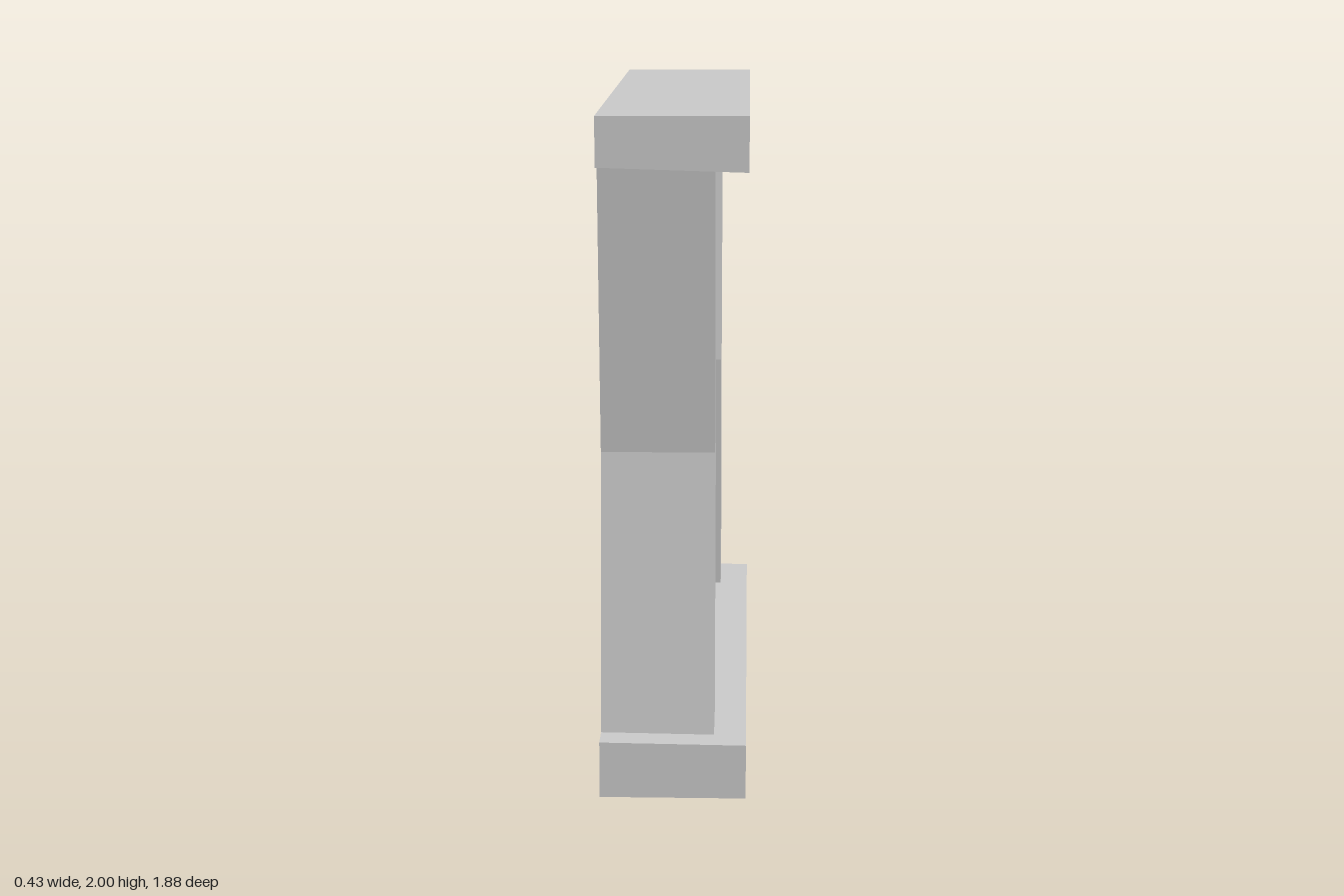
import * as THREE from 'three';

const BACK = -0.215, FRONT = 0.215, PANEL = -0.08, POST = 0.12, END = 0.94;
// inner faces of the two beams tilt slightly from back to front
const topInner = x => 1.85 - 0.03 * x;
const bottomInner = x => 0.167 - 0.012 * x;
// hourglass outline: height, outer z and inner z of a post
const LEVELS = [[0.165, 0.855, 0.697], [1.005, 0.77, 0.63], [1.852, 0.855, 0.697]];

const material = new THREE.MeshStandardMaterial({
  color: 0xcccccc, flatShading: true, side: THREE.DoubleSide,
});

function add(parent, name, geometry) {
  const mesh = new THREE.Mesh(geometry, material);
  mesh.name = name;
  parent.add(mesh);
  return mesh;
}

// Flat-faced sheet through rows of [x, y, z] points
function loft(rows) {
  const p = [];
  for (let r = 0; r + 1 < rows.length; r++) {
    for (let c = 0; c + 1 < rows[r].length; c++) {
      const [a, b, d, e] = [rows[r][c], rows[r][c + 1], rows[r + 1][c + 1], rows[r + 1][c]];
      p.push(...a, ...b, ...d, ...a, ...d, ...e);
    }
  }
  const g = new THREE.BufferGeometry();
  g.setAttribute('position', new THREE.Float32BufferAttribute(p, 3));
  g.computeVertexNormals();
  return g;
}

// Box between two corners without some faces (0 +x, 1 -x, 2 +y, 3 -y, 4 +z, 5 -z)
function openBox(min, max, omit) {
  const size = max.map((v, i) => v - min[i]);
  const g = new THREE.BoxGeometry(...size);
  g.translate(...max.map((v, i) => (v + min[i]) / 2));
  g.setIndex(Array.from(g.index.array).filter((_, i) => !omit.includes(Math.floor(i / 6))));
  g.clearGroups();
  return g;
}

// Reshape the heights of the vertices chosen by a test
function setHeights(g, test, height) {
  const p = g.attributes.position;
  for (let i = 0; i < p.count; i++) {
    if (test(p.getY(i))) p.setY(i, height(p.getX(i)));
  }
  g.computeVertexNormals();
  return g;
}

// Inner beam face, cut away behind the panel and inside the hollow posts
function ledge(isTop) {
  const [, outer, inner] = LEVELS[0];
  const half = [[BACK, END], [BACK, outer], [POST, outer], [POST, inner], [PANEL, inner]];
  const outline = [[FRONT, -END], [FRONT, END], ...half,
    ...half.map(([x, z]) => [x, -z]).reverse()];
  const g = new THREE.ShapeGeometry(new THREE.Shape(outline.map(q => new THREE.Vector2(...q))));
  g.rotateX(isTop ? Math.PI / 2 : -Math.PI / 2);
  return setHeights(g, () => true, isTop ? topInner : bottomInner);
}

export function createModel() {
  const model = new THREE.Group();
  model.name = 'windowFrame';

  // Top and bottom beams, open at the back
  const lintel = new THREE.Group();
  lintel.name = 'topBeam';
  add(lintel, 'topBeamShell', setHeights(
    openBox([BACK, 1.85, -END], [FRONT, 2, END], [1, 3]), y => y < 1.9, topInner));
  add(lintel, 'topBeamUnderside', ledge(true));

  const sill = new THREE.Group();
  sill.name = 'bottomBeam';
  add(sill, 'bottomBeamShell', setHeights(
    openBox([BACK, 0, -END], [FRONT, 0.167, END], [1, 2]), y => y > 0.1, bottomInner));
  add(sill, 'bottomBeamLedge', ledge(false));
  model.add(lintel, sill);

  // Pinched side posts, hollow at the back
  for (const s of [1, -1]) {
    const rows = LEVELS.map(([y, outer, inner]) => {
      const row = [[BACK, y, s * outer], [POST, y, s * outer],
        [POST, y, s * inner], [PANEL, y, s * inner]];
      return s > 0 ? row : row.reverse();
    });
    add(model, s > 0 ? 'frontPost' : 'backPost', loft(rows));
  }

  // Pane between the posts
  add(model, 'pane', loft(LEVELS.map(([y, , inner]) => [[PANEL, y, inner], [PANEL, y, -inner]])));

  // Vertical glazing bars
  for (const z of [0.237, -0.287]) {
    add(model, 'verticalBar',
      openBox([-0.18, 0.165, z - 0.048], [0.057, 1.85, z + 0.048], [1, 2, 3]));
  }

  // Horizontal glazing bar, running into the posts
  add(model, 'horizontalBar', openBox([-0.18, 0.955, -0.75], [0.04, 1.055, 0.75], [1, 4, 5]));

  return model;
}
